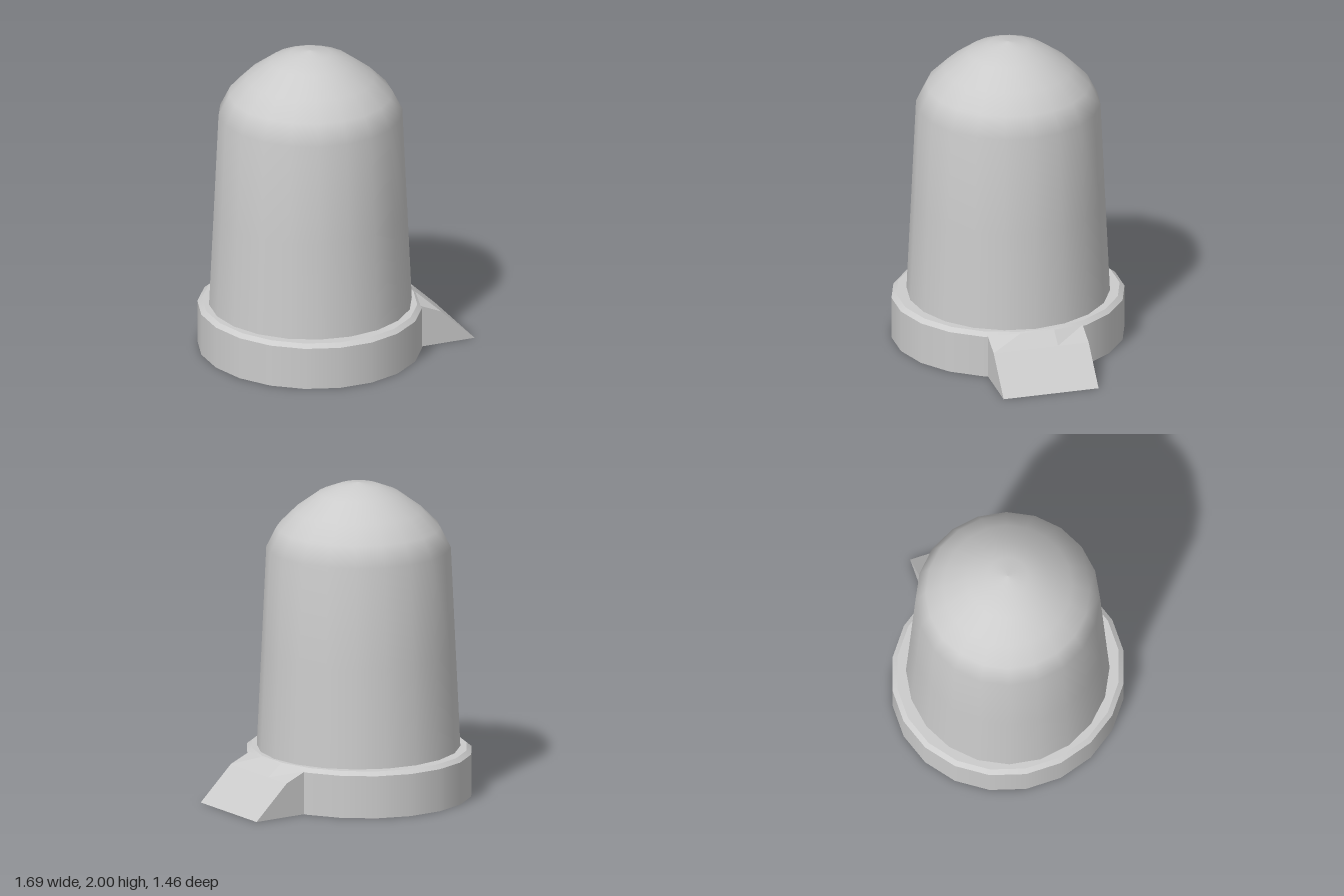
import * as THREE from 'three';

const SIDES = 20;

export function createModel() {
  const group = new THREE.Group();
  const material = new THREE.MeshStandardMaterial({ color: 0xcccccc });

  const lathe = (name, profile, phiStart, parent) => {
    const points = profile.map(([r, y]) => new THREE.Vector2(r, y));
    const mesh = new THREE.Mesh(new THREE.LatheGeometry(points, SIDES, phiStart), material);
    mesh.name = name;
    parent.add(mesh);
    return mesh;
  };

  // tapered body running smoothly into the dome
  lathe('domedBody', [
    [0.64, 0.29], [0.61, 0.93], [0.58, 1.58], [0.515, 1.71],
    [0.405, 1.82], [0.255, 1.93], [0.13, 1.98], [0, 2],
  ], 0, group).position.x = -0.15;

  // slightly oval base ring: one band per profile step keeps the rims sharp
  const base = new THREE.Group();
  base.name = 'base';
  base.position.x = -0.155;
  base.scale.set(0.7, 1, 0.739);
  group.add(base);
  const rim = [[0, 0], [1, 0], [1, 0.272], [0.958, 0.296], [0.8, 0.296]];
  const bands = ['baseBottom', 'baseWall', 'baseChamfer', 'baseTop'];
  bands.forEach((name, i) => lathe(name, [rim[i], rim[i + 1]], Math.PI / SIDES, base));

  // wedge-shaped ramp, with its crest following the curve of the base
  const rows = [[-0.31, 0.47, 0.277], [-0.11, 0.52, 0.29], [0.11, 0.52, 0.29], [0.31, 0.47, 0.277]]
    .map(([z, x, y]) => [[x, y, z], [0.61, 0.217, z], [0.84, 0, z], [x, 0, z]]);
  const positions = [];
  const quad = (a, b, c, d) => positions.push(...a, ...b, ...c, ...a, ...c, ...d);
  for (let i = 0; i < rows.length - 1; i++) {
    const p = rows[i], q = rows[i + 1];
    for (let j = 0; j < 4; j++) {
      const k = (j + 1) % 4;
      quad(p[j], q[j], q[k], p[k]);
    }
  }
  quad(...rows[0]);
  quad(...[...rows[3]].reverse());
  const rampGeometry = new THREE.BufferGeometry();
  rampGeometry.setAttribute('position', new THREE.Float32BufferAttribute(positions, 3));
  rampGeometry.computeVertexNormals();
  const ramp = new THREE.Mesh(rampGeometry, material);
  ramp.name = 'ramp';
  group.add(ramp);

  return group;
}
